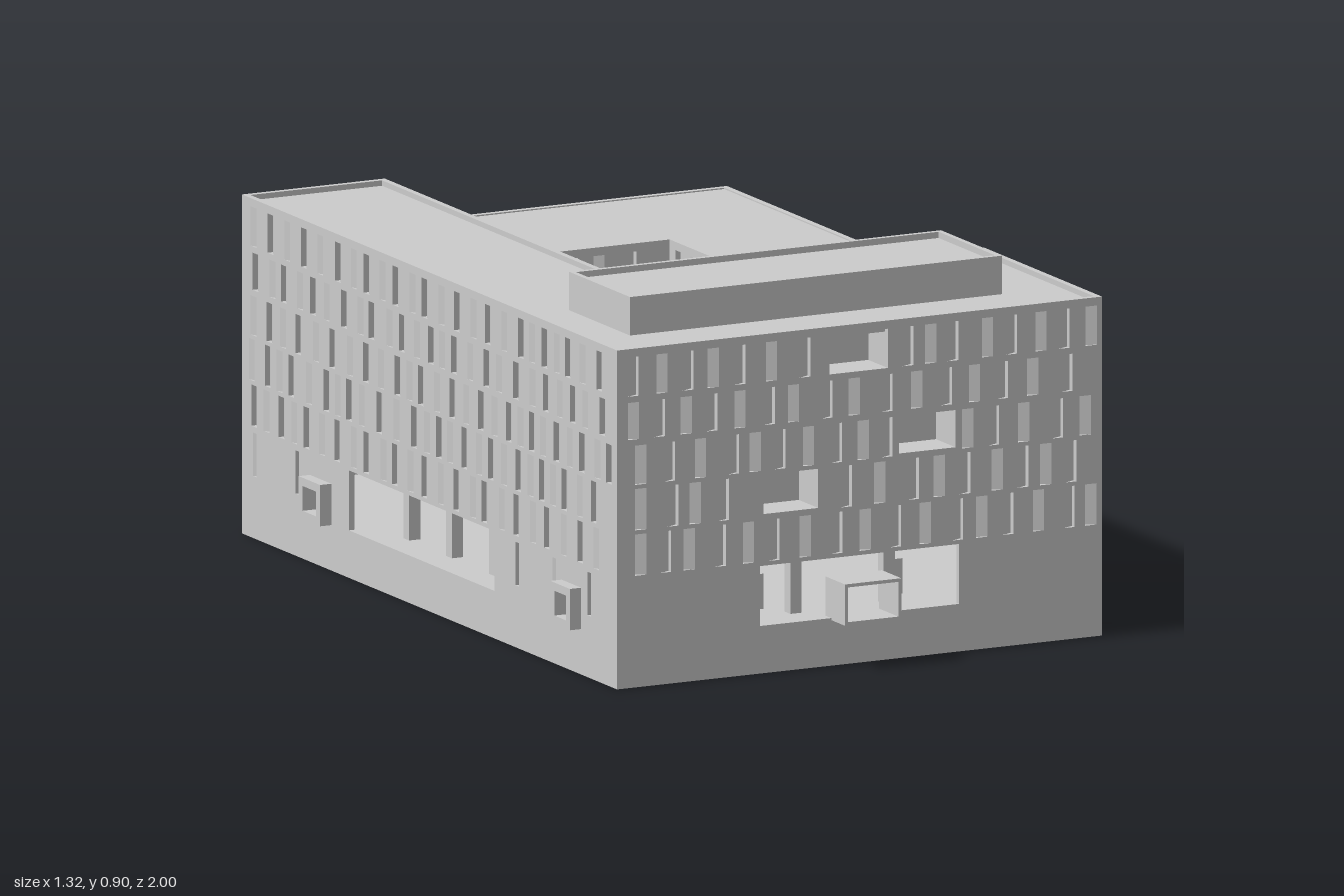
import * as THREE from 'three';
import { mergeGeometries } from 'three/addons/utils/BufferGeometryUtils.js';

const T = 0.015; // wall thickness, also the visible parapet rim
const ROWS = [[0.27, 0.37], [0.38, 0.48], [0.49, 0.585], [0.6, 0.69], [0.705, 0.8]];

export function createModel() {
  const model = new THREE.Group();
  const grey = new THREE.MeshStandardMaterial({ color: 0xcccccc, flatShading: true });
  const thin = new THREE.MeshStandardMaterial({ color: 0xcccccc, side: THREE.DoubleSide });
  const inside = new THREE.MeshStandardMaterial({ color: 0xcccccc, side: THREE.BackSide });

  let seed = 7;
  const rnd = () => (seed = (seed * 16807) % 2147483647) / 2147483647;

  const add = (name, geometry, material = grey) => {
    const mesh = new THREE.Mesh(geometry, material);
    mesh.name = name;
    model.add(mesh);
    return mesh;
  };
  // box from its minimum and maximum corners
  const block = (x0, x1, y0, y1, z0, z1) =>
    new THREE.BoxGeometry(x1 - x0, y1 - y0, z1 - z0)
      .translate((x0 + x1) / 2, (y0 + y1) / 2, (z0 + z1) / 2);
  const rect = ([a, b, c, d]) => [[a, c], [b, c], [b, d], [a, d]];
  const path = (pts) => pts.map(([x, y]) => new THREE.Vector2(x, y));
  const extrude = (pts, holes, depth) => {
    const shape = new THREE.Shape(path(pts));
    holes.forEach((h) => shape.holes.push(new THREE.Path(path(rect(h)))));
    return new THREE.ExtrudeGeometry(shape, { depth, bevelEnabled: false });
  };
  // horizontal slab from a plan of [x, z] points; holes are [x0, x1, z0, z1]
  const slab = (name, pts, y0, y1, holes = []) =>
    add(name, extrude(pts.map(([x, z]) => [x, -z]),
      holes.map(([a, b, c, d]) => [a, b, -d, -c]), y1 - y0)
      .rotateX(-Math.PI / 2).translate(0, y0, 0));

  // Wall in local (u, y), outer face at distance d, turned about y.
  // Window slots are wedges: flush on one side, deep on the other.
  function wall(name, { pts, rot, d, range, top = () => 0.82, openings = [], recesses = [], low = false }) {
    const big = [...openings, ...recesses.map((r) => r.slice(0, 4))];
    const slots = [];
    const addRow = (y0, y1, step, width) => {
      let flip = rnd() > 0.5;
      for (let u = range[0] + 0.02 + rnd() * 0.03; u < range[1] - width - 0.01; u += step * (0.75 + 0.5 * rnd())) {
        const s = [u, u + width, y0, y1];
        const clash = big.some((b) => s[0] < b[1] + 0.01 && s[1] > b[0] - 0.01 && y0 < b[3] + 0.004 && y1 > b[2] - 0.004);
        if (!clash && y1 < Math.min(top(u), top(u + width)) - 0.005) slots.push([...s, flip]);
        flip = !flip;
      }
    };
    ROWS.forEach(([a, b]) => addRow(a, b, 0.074, 0.03));
    if (low) addRow(0.15, 0.255, 0.19, 0.018);

    const holes = [...big, ...slots.map((s) => s.slice(0, 4))];
    add(name, extrude(pts, holes, T).translate(0, 0, d - T).rotateY(rot));
    const depth = T - 0.001;
    const panes = slots.map(([a, b, y0, y1, flip]) => {
      const w = b - a;
      return new THREE.PlaneGeometry(Math.hypot(w, depth), y1 - y0)
        .rotateY((flip ? 1 : -1) * Math.atan2(depth, w))
        .translate((a + b) / 2, (y0 + y1) / 2, d - depth / 2);
    });
    add(name + 'Windows', mergeGeometries(panes).rotateY(rot), thin);
    recesses.forEach(([a, b, y0, y1, deep]) =>
      add(name + 'Recess', block(a, b, y0, y1, d - deep, d - 0.001).rotateY(rot), inside));
  }

  const H = Math.PI / 2;
  // outer walls
  wall('frontWall', {
    pts: rect([-0.63, 0.66, 0, 0.82]), rot: 0, d: 0.93, range: [-0.63, 0.66],
    openings: [[-0.25, 0.28, 0.115, 0.26]],
    recesses: [[-0.065, 0.09, 0.705, 0.8, 0.1], [0.12, 0.27, 0.495, 0.585, 0.1], [-0.24, -0.095, 0.385, 0.48, 0.1]],
  });
  wall('backWall', {
    pts: [[-0.66, 0], [0.63, 0], [0.63, 0.82], [0.25, 0.82], [0.25, 0.71], [-0.66, 0.71]],
    rot: Math.PI, d: 1, range: [-0.66, 0.63], top: (u) => (u > 0.25 ? 0.82 : 0.71), low: true,
    openings: [[-0.28, 0.25, 0.115, 0.26]],
  });
  wall('leftWall', {
    pts: [[-0.93 + T, 0], [1 - T, 0], [1 - T, 0.71], [-0.32, 0.71], [-0.32, 0.82], [-0.93 + T, 0.82]],
    rot: H, d: 0.66, range: [-0.92, 0.99], top: (u) => (u < -0.35 ? 0.82 : 0.71), low: true,
    openings: [[-0.3, 0.45, 0.115, 0.26]],
  });
  wall('rightWall', {
    pts: rect([-1 + T, 0.93 - T, 0, 0.82]), rot: -H, d: 0.63, range: [-0.99, 0.92], low: true,
    openings: [[-0.45, 0.3, 0.115, 0.26], [-0.63, -0.56, 0.13, 0.19], [0.665, 0.725, 0.13, 0.19]],
  });

  // courtyard walls, rising above the lower roof on two sides
  wall('courtyardRightWall', {
    pts: rect([-0.32, 1 - T, 0.26, 0.82]), rot: H, d: -0.25, range: [-0.32, 0.54],
  });
  wall('courtyardLeftWall', {
    pts: rect([-0.54, 0.32, 0.26, 0.71]), rot: -H, d: -0.27, range: [-0.54, 0.32], top: () => 0.71,
  });
  wall('courtyardBackWall', {
    pts: rect([-0.25, 0.27, 0.26, 0.71]), rot: 0, d: -0.54, range: [-0.25, 0.27], top: () => 0.71,
  });
  wall('courtyardFrontWall', {
    pts: rect([-0.66 + T, 0.25 + T, 0.26, 0.82]), rot: Math.PI, d: -0.32, range: [-0.27, 0.25],
    recesses: [[-0.64, -0.54, 0.715, 0.8, 0.08]],
  });

  // base, ground floor and ceiling
  const inner = rect([-0.63 + T, 0.66 - T, -1 + T, 0.93 - T]);
  const court = [-0.25, 0.27, -0.54, 0.32];
  slab('base', inner, 0, 0.02);
  slab('groundFloor', inner, 0.02, 0.115, [[-0.16, 0.27, -0.37, 0.32]]);
  slab('groundFloorCeiling', inner, 0.26, 0.275, [court]);

  // sunken courtyard with steps and seats
  for (let i = 0; i < 10; i++) {
    const z = -0.37 + i * 0.028;
    add('courtyardStep', block(-0.16, 0.27, 0.02, 0.107 - i * 0.0085, z, z + 0.028));
  }
  for (const z of [0.035, 0.14, 0.24])
    add('courtyardSeat', block(0.15, 0.18, 0.02, 0.06, z - 0.015, z + 0.015));

  // roofs, set just below the parapet rim
  slab('upperRoof', [[-0.63 + T, -1 + T], [-0.25 - T, -1 + T], [-0.25 - T, 0.32 + T],
    [0.66 - T, 0.32 + T], [0.66 - T, 0.93 - T], [-0.63 + T, 0.93 - T]], 0.79, 0.807);
  slab('lowerRoof', rect([-0.25, 0.66 - T, -1 + T, 0.32]), 0.695, 0.707,
    [[-0.2499, 0.27, -0.54, 0.3199]]);

  // rooftop plant room
  slab('roofBoxWalls', rect([-0.5, 0.49, 0.43, 0.745]), 0.8, 0.9, [[-0.487, 0.477, 0.443, 0.732]]);
  slab('roofBoxTop', rect([-0.487, 0.477, 0.443, 0.732]), 0.87, 0.885);

  // hollow entrance box
  add('entranceBox', extrude(rect([-0.06, 0.09, 0.11, 0.21]), [[-0.052, 0.082, 0.118, 0.202]], 0.1)
    .translate(0, 0, 0.9));
  // framed bay windows
  for (const [z0, z1] of [[-0.65, -0.54], [0.645, 0.745]]) {
    add('bayFrame', extrude(rect([z0, z1, 0.11, 0.21]), [[z0 + 0.02, z1 - 0.02, 0.13, 0.19]], 0.05)
      .translate(0, 0, 0.61).rotateY(-H));
    add('bayPane', block(-0.612, -0.605, 0.12, 0.2, z0 + 0.01, z1 - 0.01));
  }

  // columns around the open ground floor
  const column = (name, x, z, top = 0.26) =>
    add(name, block(x - 0.015, x + 0.015, 0.115, top, z - 0.015, z + 0.015));
  for (const x of [-0.11, 0.138]) for (const z of [0.83, -0.9]) column('column', x, z);
  for (const x of [-0.54, 0.57]) for (const z of [-0.3, -0.08, 0.14]) column('sideColumn', x, z);
  for (const x of [-0.17, 0.2]) column('lowPost', x, 0.75, 0.2);

  // inner wall with gaps beside the hall
  for (const [z0, z1] of [[-0.985, -0.25], [-0.2, 0.25], [0.3, 0.915]])
    add('hallWall', block(-0.28, -0.265, 0.115, 0.26, z0, z1));
  for (let z = -0.43; z < 0.3; z += 0.105)
    add('hallPier', block(-0.265, -0.255, 0.115, 0.25, z, z + 0.03));

  return model;
}
